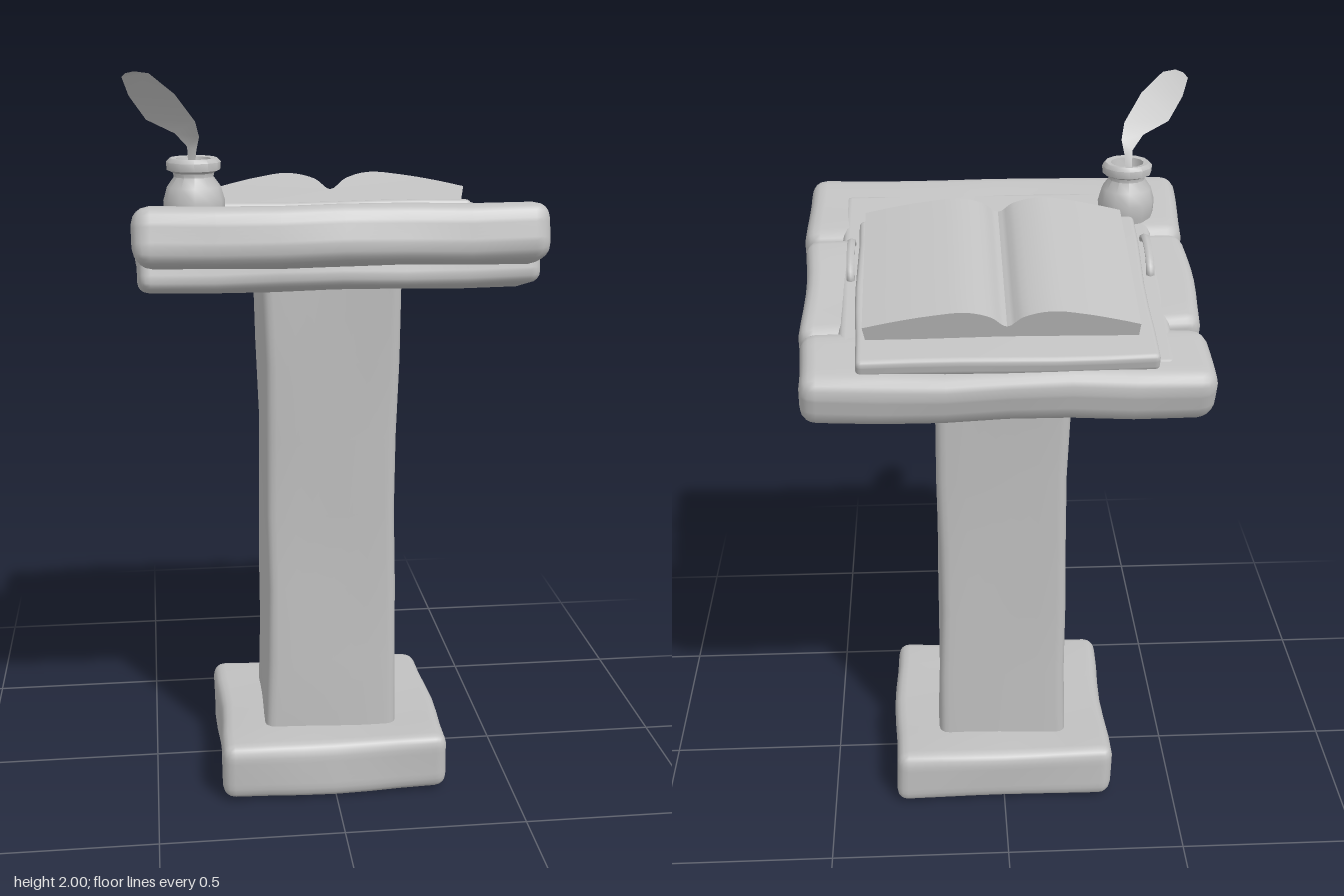
import * as THREE from 'three';
import { mergeVertices, toCreasedNormals } from 'three/addons/utils/BufferGeometryUtils.js';

const stone = new THREE.MeshStandardMaterial({ color: 0xc0c0c0 });
stone.name = 'plain grey';
const thinGrey = new THREE.MeshStandardMaterial({ color: 0xc0c0c0, side: THREE.DoubleSide });
thinGrey.name = 'plain grey thin';

function add(parent, name, geometry, material = stone) {
  const mesh = new THREE.Mesh(geometry, material);
  mesh.name = name;
  parent.add(mesh);
  return mesh;
}

// Softly worn block between two corners: rounded edges, gentle hand-carved unevenness
function block([x0, y0, z0], [x1, y1, z1], r, wear, seed, bend) {
  const half = [(x1 - x0) / 2, (y1 - y0) / 2, (z1 - z0) / 2];
  let geo = new THREE.BoxGeometry(2, 2, 2, 10, 10, 10);
  geo.deleteAttribute('uv');
  geo.deleteAttribute('normal');
  geo = mergeVertices(geo);
  const pos = geo.attributes.position;
  const v = new THREE.Vector3(), core = new THREE.Vector3();
  for (let i = 0; i < pos.count; i++) {
    [0, 1, 2].forEach((k) => {
      const t = pos.getComponent(i, k), u = Math.abs(t), inner = half[k] - r;
      const d = u <= 0.601 ? (u / 0.6) * inner : inner + ((u - 0.6) / 0.4) * r;
      v.setComponent(k, Math.sign(t) * d);
      core.setComponent(k, Math.sign(t) * Math.min(d, inner));
    });
    v.sub(core).setLength(r).add(core);
    const { x, y, z } = v;
    v.x += wear * Math.sin(13 * z + 9 * y + seed);
    v.y += wear * 0.6 * Math.sin(11 * x + 8 * z + seed * 2);
    v.z += wear * Math.sin(10 * x + 9 * y + seed * 3);
    if (bend) bend(v, half);
    pos.setXYZ(i, v.x, v.y, v.z);
  }
  geo.translate((x0 + x1) / 2, (y0 + y1) / 2, (z0 + z1) / 2);
  geo.computeVertexNormals();
  return geo;
}

// Flat-bottomed pair of pages, arched on each side of the spine
function pagesGeometry() {
  const arch = new THREE.CatmullRomCurve3([
    [0.355, 0.075], [0.28, 0.092], [0.19, 0.108], [0.1, 0.116], [0.04, 0.1], [0, 0.072],
    [-0.04, 0.1], [-0.11, 0.116], [-0.19, 0.106], [-0.27, 0.088], [-0.33, 0.072],
  ].map(([x, y]) => new THREE.Vector3(x, y, 0))).getPoints(40);
  const shape = new THREE.Shape([
    new THREE.Vector2(-0.325, 0.02), new THREE.Vector2(0.345, 0.02),
    ...arch.map((p) => new THREE.Vector2(p.x, p.y)),
  ]);
  const geo = new THREE.ExtrudeGeometry(shape, { depth: 0.505, steps: 6, bevelEnabled: false });
  geo.translate(0, 0, -0.348);
  return toCreasedNormals(geo, 0.6);
}

// Curved feather blade, built from pairs of edge points
function featherGeometry() {
  const rows = [
    [-0.372, 1.74, 0.245, -0.358, 1.74, 0.245],
    [-0.375, 1.81, 0.26, -0.352, 1.80, 0.255],
    [-0.405, 1.845, 0.285, -0.345, 1.835, 0.275],
    [-0.475, 1.88, 0.295, -0.355, 1.875, 0.305],
    [-0.515, 1.94, 0.325, -0.405, 1.945, 0.35],
    [-0.53, 1.985, 0.345, -0.465, 1.995, 0.375],
    [-0.52, 1.995, 0.365, -0.50, 2.0, 0.378],
  ];
  const index = [];
  for (let i = 0; i < rows.length - 1; i++) {
    const a = i * 2;
    index.push(a, a + 1, a + 3, a, a + 3, a + 2);
  }
  const geo = new THREE.BufferGeometry();
  geo.setAttribute('position', new THREE.Float32BufferAttribute(rows.flat(), 3));
  geo.setIndex(index);
  geo.computeVertexNormals();
  return geo;
}

export function createModel() {
  const model = new THREE.Group();
  model.name = 'lectern';

  // Foot and waisted column
  add(model, 'base', block([-0.315, 0, -0.28], [0.32, 0.165, 0.315], 0.035, 0.005, 1));
  add(model, 'column', block([-0.188, 0.12, -0.17], [0.188, 1.47, 0.202], 0.03, 0.003, 2, (v, h) => {
    const waist = 1 - 0.1 * Math.cos((v.y / h[1]) * Math.PI / 2);
    v.x *= (1 + waist) / 2;
    v.z *= waist;
  }));

  // Sloping desk: local y = 0 is its upper face
  const desk = new THREE.Group();
  desk.name = 'desk';
  desk.position.y = 1.575;
  desk.rotation.x = -0.25;
  model.add(desk);
  add(desk, 'frontPlank', block([-0.515, -0.145, 0.15], [0.522, 0.002, 0.463], 0.045, 0.005, 3));
  add(desk, 'middlePlank', block([-0.51, -0.14, -0.262], [0.518, 0, 0.165], 0.04, 0.006, 4));
  add(desk, 'backPlank', block([-0.513, -0.138, -0.484], [0.518, 0.002, -0.25], 0.045, 0.005, 5));
  add(desk, 'deskPanel', block([-0.42, -0.12, -0.42], [0.42, 0.003, 0.36], 0.02, 0.001, 6));
  add(desk, 'underBatten', block([-0.51, -0.195, 0.16], [0.515, -0.09, 0.335], 0.03, 0.004, 7));

  // Open book
  add(desk, 'bookCover', block([-0.37, -0.01, -0.44], [0.375, 0.04, 0.178], 0.015, 0.003, 8));
  add(desk, 'bookPages', pagesGeometry());

  // Small arched clasps beside the book
  for (const side of [-1, 1]) {
    const clasp = add(desk, side > 0 ? 'leftClasp' : 'rightClasp',
      new THREE.TorusGeometry(0.08, 0.012, 6, 16, Math.PI));
    clasp.rotation.y = Math.PI / 2;
    clasp.scale.y = 0.5;
    clasp.position.set(side * 0.393, 0, 0.035);
  }

  // Ink pot with flared rim and open mouth
  const potProfile = [
    [0, 1.58], [0.06, 1.58], [0.076, 1.64], [0.078, 1.675], [0.068, 1.71], [0.05, 1.735],
    [0.052, 1.745], [0.067, 1.752], [0.069, 1.772], [0.06, 1.782], [0.045, 1.78], [0.04, 1.755], [0, 1.75],
  ].map(([r, y]) => new THREE.Vector2(r, y));
  const pot = add(model, 'inkPot', toCreasedNormals(new THREE.LatheGeometry(potProfile, 12), 0.9));
  pot.position.set(-0.36, 0, 0.25);

  // Quill
  add(model, 'quill', featherGeometry(), thinGrey);
  return model;
}
